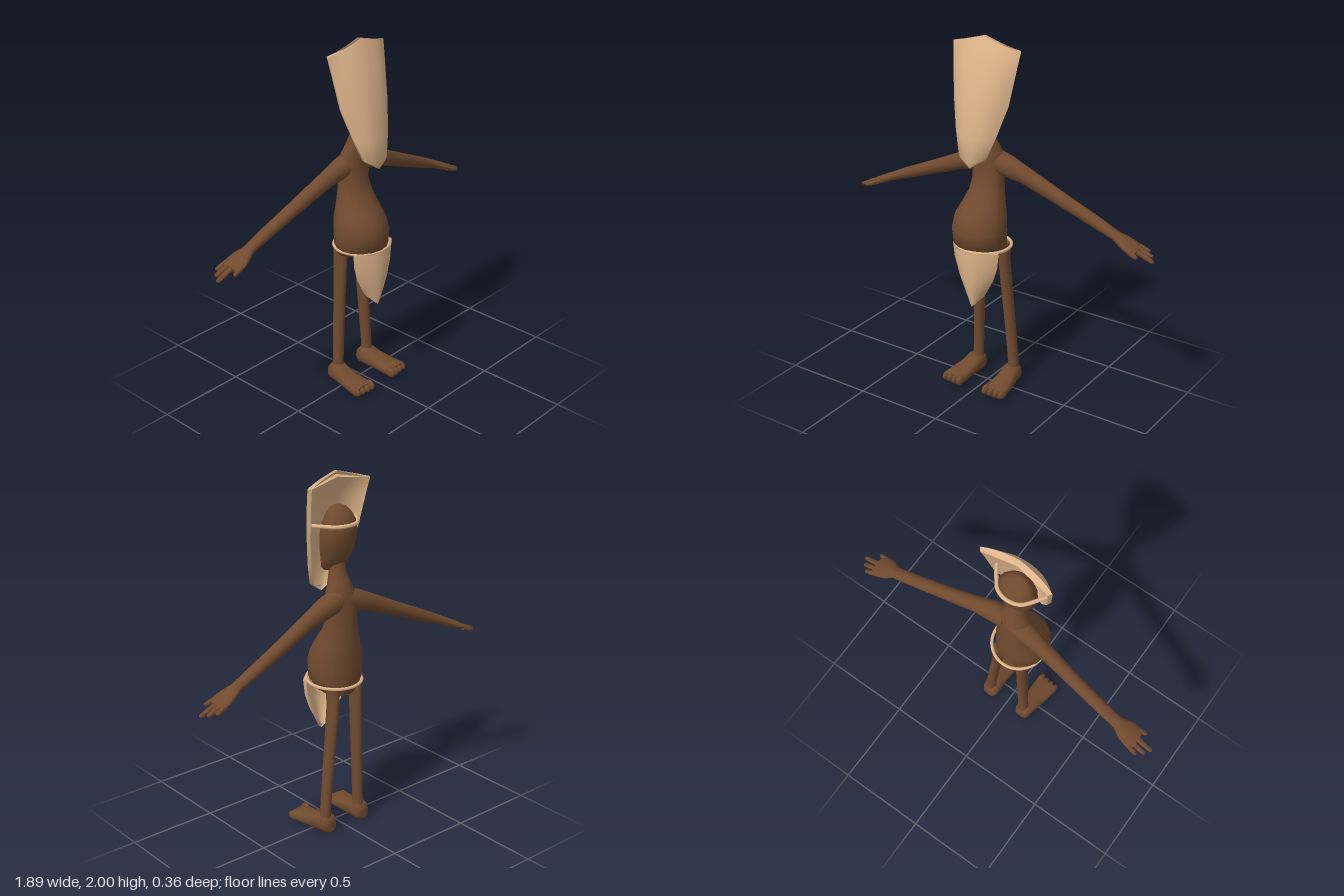
import * as THREE from 'three';
import { toCreasedNormals } from 'three/addons/utils/BufferGeometryUtils.js';

const skin = new THREE.MeshStandardMaterial({ color: 0x704a2e });
const wood = new THREE.MeshStandardMaterial({ color: 0xdeb48a });
const V = (x, y, z) => new THREE.Vector3(x, y, z);
const X = V(1, 0, 0), Y = V(0, 1, 0), Z = V(0, 0, 1);

function addMesh(parent, name, geometry, material) {
  const mesh = new THREE.Mesh(geometry, material);
  mesh.name = name;
  parent.add(mesh);
  return mesh;
}

// Closed skin over a list of equal-sized rings, capped and wound outward
function loft(rings, crease = 1.1) {
  const n = rings[0].length, pts = rings.flat(), faces = [];
  for (let r = 0; r < rings.length - 1; r++) {
    for (let i = 0; i < n; i++) {
      const a = r * n + i, b = r * n + (i + 1) % n;
      faces.push([a, b, a + n], [b, b + n, a + n]);
    }
  }
  for (const end of [0, rings.length - 1]) {
    const mid = V(0, 0, 0);
    rings[end].forEach(p => mid.addScaledVector(p, 1 / n));
    pts.push(mid);
    for (let i = 0; i < n; i++) {
      const a = end * n + i, b = end * n + (i + 1) % n, c = pts.length - 1;
      faces.push(end ? [a, b, c] : [b, a, c]);
    }
  }
  let volume = 0;
  for (const [a, b, c] of faces) volume += pts[a].dot(V(0, 0, 0).crossVectors(pts[b], pts[c]));
  if (volume < 0) faces.forEach(f => f.reverse());
  const geo = new THREE.BufferGeometry().setFromPoints(pts);
  geo.setIndex(faces.flat());
  return toCreasedNormals(geo, crease);
}

// Rounded form through stations [x, y, z, radiusU, radiusV], with rings in the plane of u and v
function form(stations, u, v, power = 1, n = 16) {
  const round = t => Math.sign(t) * Math.abs(t) ** power;
  return loft(stations.map(([x, y, z, ru, rv]) => Array.from({ length: n }, (_, i) => {
    const a = i / n * Math.PI * 2;
    return V(x, y, z).addScaledVector(u, ru * round(Math.cos(a))).addScaledVector(v, rv * round(Math.sin(a)));
  })));
}

// Bowed panel with rows [halfWidth, edgeY, middleY, edgeZ, middleZ], hollow at the back
function panel(rows, cx, thickness, bow) {
  const n = 12;
  return loft(rows.map(([w, ye, ym, ze, zm]) => {
    const at = (s, back) => {
      const k = 1 - Math.abs(s) ** bow;
      return V(cx + s * w * (back ? 0.94 : 1), ye + (ym - ye) * (1 - Math.abs(s)),
        ze + (zm - ze) * k - (back ? thickness : 0));
    };
    const ring = [];
    for (let i = 0; i <= n; i++) ring.push(at(i / n * 2 - 1, false));
    for (let i = n; i >= 0; i--) ring.push(at(i / n * 2 - 1, true));
    return ring;
  }), 0.8);
}

function band(points, closed, radius) {
  return new THREE.TubeGeometry(new THREE.CatmullRomCurve3(points, closed), 40, radius, 8, closed);
}

export function createModel() {
  const model = new THREE.Group();
  model.name = 'maskedFigure';

  // Torso with round belly, narrow chest and neck
  addMesh(model, 'torso', form([
    [-0.02, 0.79, -0.03, 0.085, 0.06],
    [-0.025, 0.82, 0.0, 0.125, 0.1],
    [-0.028, 0.87, 0.03, 0.146, 0.145],
    [-0.031, 0.95, 0.034, 0.152, 0.146],
    [-0.031, 1.02, 0.022, 0.143, 0.138],
    [-0.025, 1.08, 0.003, 0.12, 0.118],
    [-0.02, 1.15, -0.022, 0.099, 0.09],
    [-0.02, 1.22, -0.035, 0.09, 0.072],
    [-0.015, 1.31, -0.035, 0.095, 0.068],
    [-0.015, 1.37, -0.028, 0.085, 0.062],
    [-0.015, 1.43, -0.015, 0.058, 0.053],
    [-0.018, 1.48, -0.002, 0.045, 0.043],
    [-0.02, 1.55, 0.005, 0.045, 0.043]], X, Z), skin);

  // Head with a jutting jaw
  addMesh(model, 'head', form([
    [-0.02, 1.465, 0.06, 0.04, 0.03],
    [-0.02, 1.48, 0.045, 0.06, 0.05],
    [-0.02, 1.53, 0.02, 0.08, 0.07],
    [-0.02, 1.6, 0.004, 0.1, 0.08],
    [-0.02, 1.68, -0.01, 0.108, 0.085],
    [-0.02, 1.73, -0.014, 0.102, 0.077],
    [-0.02, 1.78, -0.01, 0.076, 0.058],
    [-0.02, 1.81, -0.002, 0.05, 0.035],
    [-0.02, 1.822, 0, 0.022, 0.016]], X, Z), skin);

  // Tall curved mask and its strap round the back of the head
  addMesh(model, 'mask', panel([
    [0.206, 1.94, 2.0, -0.015, 0.015],
    [0.195, 1.85, 1.86, 0.005, 0.078],
    [0.169, 1.66, 1.66, 0.04, 0.128],
    [0.125, 1.5, 1.49, 0.088, 0.152],
    [0.086, 1.385, 1.35, 0.12, 0.158],
    [0.074, 1.375, 1.325, 0.125, 0.145]], -0.017, 0.02, 2.6), wood);
  addMesh(model, 'maskStrap', band([
    V(-0.165, 1.73, 0.03), V(-0.128, 1.73, -0.03), V(-0.085, 1.73, -0.078), V(-0.02, 1.73, -0.095),
    V(0.045, 1.73, -0.078), V(0.088, 1.73, -0.03), V(0.13, 1.73, 0.03)], false, 0.011), wood);

  // Loincloth and belt
  addMesh(model, 'loincloth', panel([
    [0.148, 0.857, 0.857, 0.1, 0.178],
    [0.138, 0.77, 0.77, 0.098, 0.178],
    [0.112, 0.69, 0.68, 0.096, 0.172],
    [0.078, 0.625, 0.6, 0.096, 0.158],
    [0.045, 0.57, 0.52, 0.094, 0.138]], -0.012, 0.014, 2), wood);
  addMesh(model, 'belt', band(Array.from({ length: 12 }, (_, i) => {
    const a = i / 12 * Math.PI * 2;
    return V(-0.014 + 0.15 * Math.cos(a), 0.855 + 0.006 * Math.sin(a), 0.02 + 0.15 * Math.sin(a));
  }), true, 0.009), wood);

  for (const s of [1, -1]) {
    const side = s > 0 ? 'left' : 'right';

    // Arm sloping down into a flat palm
    const arm = new THREE.Group();
    arm.name = side + 'Arm';
    model.add(arm);
    const across = V(0.37 * s, 0.93, 0);
    addMesh(arm, side + 'Limb', form([
      [0.01, 1.325, -0.04, 0.06, 0.065],
      [0.1, 1.3, -0.046, 0.055, 0.061],
      [0.2, 1.267, -0.055, 0.043, 0.048],
      [0.4, 1.18, -0.074, 0.037, 0.039],
      [0.6, 1.095, -0.09, 0.035, 0.032],
      [0.72, 1.043, -0.097, 0.034, 0.024],
      [0.77, 1.02, -0.1, 0.058, 0.023],
      [0.81, 1.002, -0.1, 0.066, 0.02],
      [0.85, 0.985, -0.103, 0.058, 0.014]].map(([x, ...r]) => [x * s, ...r]), Z, across), skin);

    // Fingers: root x, root z, tip x, tip z
    [[0.82, -0.152, 0.888, -0.163], [0.83, -0.125, 0.92, -0.132],
      [0.83, -0.093, 0.942, -0.096], [0.79, -0.055, 0.875, -0.043]].forEach(([x0, z0, x1, z1], i) => {
      const height = x => 0.995 - (x - 0.82) * 0.38;
      const along = t => [s * (x0 + (x1 - x0) * t), height(x0 + (x1 - x0) * t), z0 + (z1 - z0) * t];
      addMesh(arm, side + 'Finger' + (i + 1), form([
        [...along(0), 0.014, 0.013], [...along(0.6), 0.013, 0.012],
        [...along(0.93), 0.011, 0.01], [...along(1), 0.006, 0.006]], Z, across, 0.8, 10), skin);
    });

    // Thin leg, spread a little wider on the left
    const hip = s > 0 ? 0.065 : -0.093, ankle = s > 0 ? 0.125 : -0.11;
    addMesh(model, side + 'Leg', form([
      [ankle, 0.05, -0.07, 0.034, 0.038],
      [ankle, 0.12, -0.07, 0.029, 0.031],
      [ankle * 0.7 + hip * 0.3, 0.32, -0.069, 0.028, 0.035],
      [hip, 0.74, -0.064, 0.027, 0.043],
      [hip, 0.85, -0.06, 0.03, 0.045]], X, Z), skin);

    // Broad foot with four toes
    const foot = new THREE.Group();
    foot.name = side + 'Foot';
    model.add(foot);
    addMesh(foot, side + 'Sole', form([
      [0.118, 0.047, -0.113, 0.034, 0.035],
      [0.118, 0.056, -0.095, 0.046, 0.05],
      [0.12, 0.058, -0.05, 0.052, 0.053],
      [0.126, 0.048, 0.0, 0.055, 0.042],
      [0.132, 0.041, 0.06, 0.062, 0.035],
      [0.135, 0.037, 0.12, 0.068, 0.031],
      [0.135, 0.034, 0.15, 0.063, 0.026]].map(([x, ...r]) => [x * s, ...r]), X, Y, 0.75), skin);
    for (let i = 0; i < 4; i++) {
      const big = i === 0 ? 1.2 : 1;
      const toe = addMesh(foot, side + 'Toe' + (i + 1), new THREE.SphereGeometry(1, 12, 8), skin);
      toe.scale.set(0.0165 * big, 0.025 * big, 0.036);
      toe.position.set(s * (0.087 + i * 0.0335), 0.009 + 0.025 * big, 0.146 - i * 0.004);
    }
  }

  // Rest the soles on the ground
  model.position.y = -0.005;
  return model;
}
